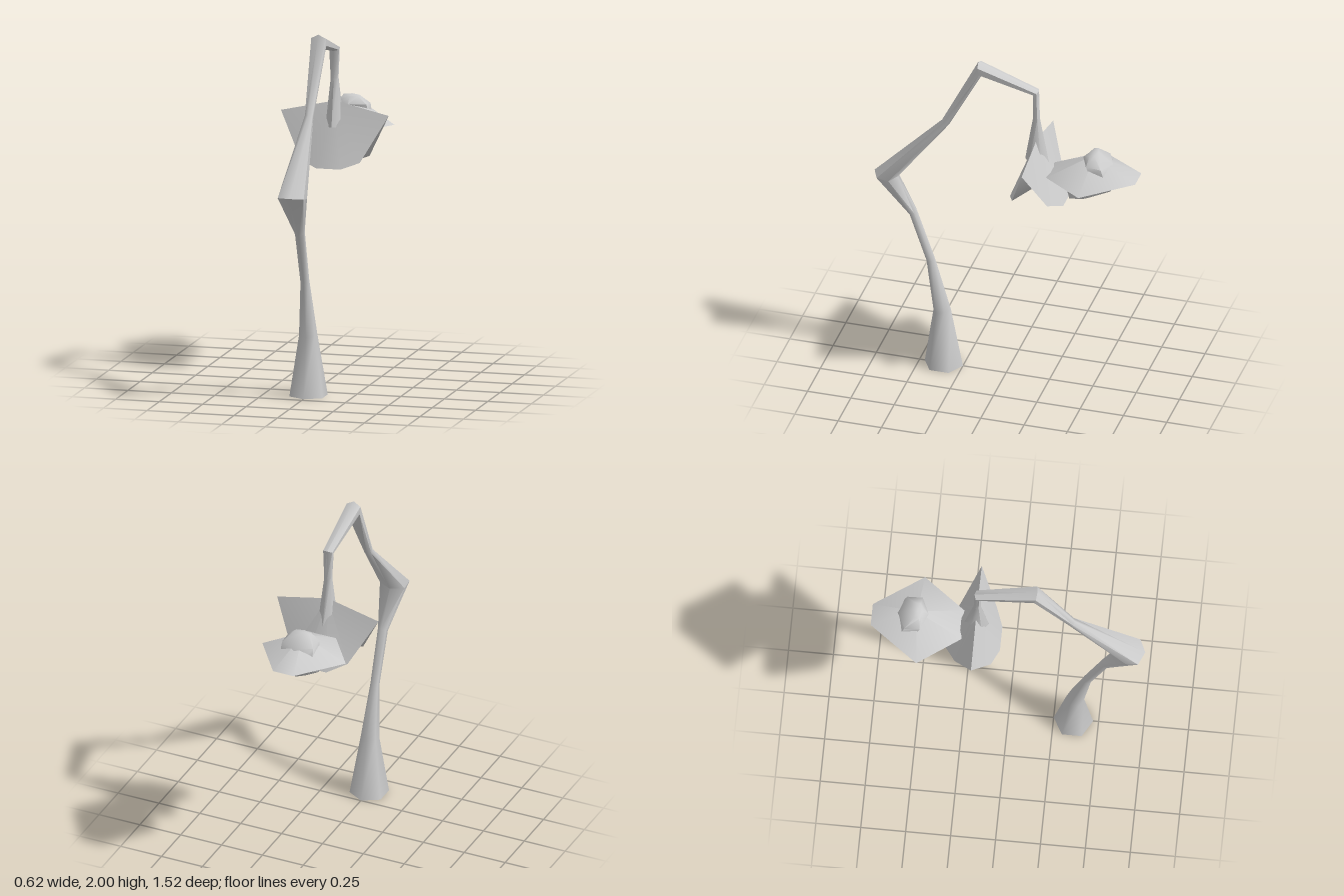
import * as THREE from 'three';
import { toCreasedNormals } from 'three/addons/utils/BufferGeometryUtils.js';

const material = new THREE.MeshStandardMaterial({ color: 0xcccccc, side: THREE.DoubleSide });

// Turns a list of triangles (each three Vector3s) into a named mesh
function meshFrom(name, triangles, crease) {
  const geometry = new THREE.BufferGeometry().setFromPoints(triangles.flat());
  const mesh = new THREE.Mesh(toCreasedNormals(geometry, crease), material);
  mesh.name = name;
  return mesh;
}

// Triangles joining a tip to a closed ring
function fan(tip, ring, flip = false) {
  return ring.map((p, i) => {
    const q = ring[(i + 1) % ring.length];
    return flip ? [tip, q, p] : [tip, p, q];
  });
}

// Six-sided loft; each section is [outerZ, outerY, innerZ, innerY, halfWidth]
function loft(sections, capped) {
  const rings = sections.map(([oz, oy, iz, iy, w]) =>
    Array.from({ length: 6 }, (_, k) => {
      const a = (k * Math.PI) / 3;
      const t = (1 - Math.cos(a)) / 2;
      return new THREE.Vector3(
        (Math.sin(a) * w) / Math.sin(Math.PI / 3),
        THREE.MathUtils.lerp(oy, iy, t),
        THREE.MathUtils.lerp(oz, iz, t)
      );
    })
  );
  const triangles = [];
  for (let i = 0; i < rings.length - 1; i++) {
    for (let k = 0; k < 6; k++) {
      const n = (k + 1) % 6;
      const [a, b, c, d] = [rings[i][k], rings[i][n], rings[i + 1][n], rings[i + 1][k]];
      triangles.push([a, b, c], [a, c, d]);
    }
  }
  if (capped) {
    const middle = (r) => r[0].clone().add(r[3]).multiplyScalar(0.5);
    const last = rings[rings.length - 1];
    triangles.push(...fan(middle(rings[0]), rings[0], true), ...fan(middle(last), last));
  }
  return triangles;
}

// Mirrors the +x half of a rim (front to back) into a closed ring
function mirroredRing(half) {
  const points = half.map((p) => new THREE.Vector3(...p));
  const mirrored = points
    .filter((p) => p.x > 0)
    .reverse()
    .map((p) => new THREE.Vector3(-p.x, p.y, p.z));
  return [...points, ...mirrored];
}

export function createModel() {
  const model = new THREE.Group();
  model.name = 'bentLamp';

  // Jointed stalk, rising from the open foot and hanging down to the shade
  model.add(meshFrom('stalk', loft([
    [0.47, 0, 0.25, 0, 0.095],
    [0.42, 0.34, 0.32, 0.36, 0.045],
    [0.46, 0.65, 0.41, 0.67, 0.022],
    [0.56, 0.94, 0.515, 0.97, 0.025],
    [0.76, 1.19, 0.625, 1.17, 0.075],
    [0.37, 1.585, 0.33, 1.56, 0.022],
    [0.16, 2.0, 0.14, 1.915, 0.042],
    [-0.19, 1.87, -0.155, 1.845, 0.028],
    [-0.195, 1.69, -0.155, 1.69, 0.02],
    [-0.25, 1.4, -0.11, 1.42, 0.045],
  ], false), 1.1));

  // Folded shade with a hollowed underside
  const shadeRim = mirroredRing([
    [0.07, 1.2, -0.042],
    [0.17, 1.235, -0.083],
    [0.31, 1.49, -0.18],
    [0.17, 1.235, -0.285],
    [0.07, 1.19, -0.35],
  ]);
  model.add(meshFrom('shade', [
    ...fan(new THREE.Vector3(0, 1.56, -0.18), shadeRim),
    ...fan(new THREE.Vector3(0, 1.25, -0.18), shadeRim, true),
  ], 0.6));

  // Shallow six-sided cap behind the shade
  const capRim = mirroredRing([
    [0.085, 1.365, -0.255],
    [0.255, 1.375, -0.49],
    [0.062, 1.395, -0.762],
  ]);
  model.add(meshFrom('cap', fan(new THREE.Vector3(0, 1.51, -0.51), capRim), 0.9));

  // Curved bulb passing up through the cap
  model.add(meshFrom('bulb', loft([
    [-0.365, 1.295, -0.385, 1.215, 0.055],
    [-0.42, 1.36, -0.47, 1.22, 0.075],
    [-0.46, 1.42, -0.6, 1.285, 0.095],
    [-0.46, 1.46, -0.65, 1.36, 0.1],
    [-0.445, 1.485, -0.615, 1.47, 0.095],
    [-0.48, 1.52, -0.535, 1.53, 0.045],
  ], true), 1.1));

  return model;
}
